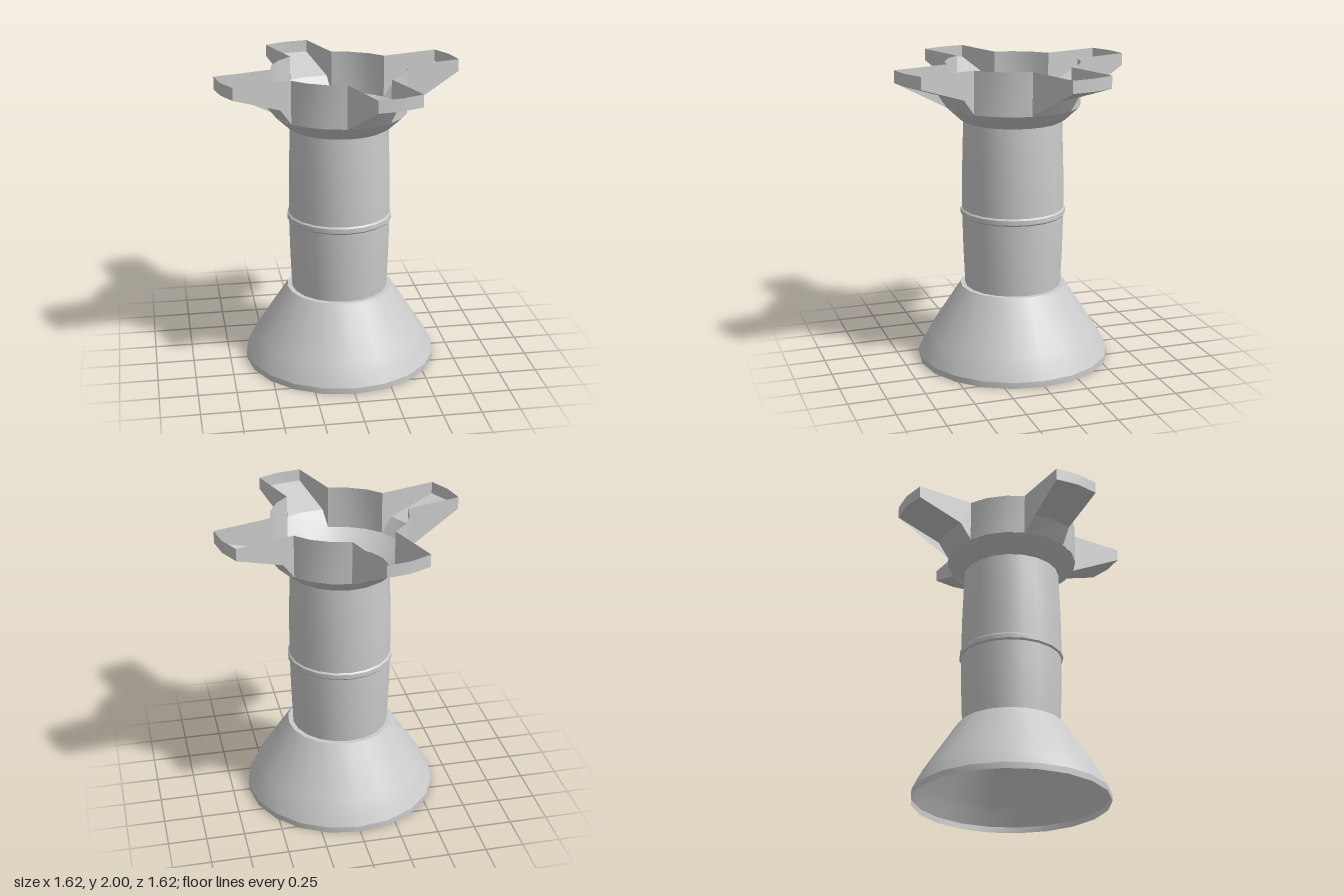
import * as THREE from 'three';
import { toCreasedNormals } from 'three/addons/utils/BufferGeometryUtils.js';

const SIDES = 20;
const material = new THREE.MeshStandardMaterial({ color: 0xcccccc, side: THREE.DoubleSide });

function addMesh(parent, name, geometry) {
  const mesh = new THREE.Mesh(toCreasedNormals(geometry, 0.45), material);
  mesh.name = name;
  parent.add(mesh);
  return mesh;
}

function lathe(points) {
  return new THREE.LatheGeometry(points.map(([r, y]) => new THREE.Vector2(r, y)), SIDES);
}

// Builds triangles from a list of polygons (fans of [x, y, z] corners)
function polygons(list) {
  const pos = [];
  for (const p of list)
    for (let i = 1; i < p.length - 1; i++) pos.push(...p[0], ...p[i], ...p[i + 1]);
  const g = new THREE.BufferGeometry();
  g.setAttribute('position', new THREE.Float32BufferAttribute(pos, 3));
  g.computeVertexNormals();
  return g;
}

// Open trough along +x: floor, end wall and two side walls
function troughGeometry() {
  const half = 0.153;
  // [corner x, middle x, y] from the cup outward, then up the end wall
  const rows = [[0.412, 0.44, 1.72], [0.487, 0.51, 1.82], [0.8, 0.82, 1.92], [0.8, 0.82, 2]];
  const list = [];
  for (let i = 0; i < rows.length - 1; i++) {
    const [a, am, ay] = rows[i], [b, bm, by] = rows[i + 1];
    list.push([[a, ay, half], [am, ay, 0], [bm, by, 0], [b, by, half]]);
    list.push([[am, ay, 0], [a, ay, -half], [b, by, -half], [bm, by, 0]]);
  }
  // fanned from the floor bend, where the side outline is concave
  const side = (z) => [1, 2, 3].map((i) => [rows[i][0], rows[i][2], z])
    .concat([[0.412, 2, z], [0.412, 1.72, z]]);
  list.push(side(half).reverse(), side(-half));
  return polygons(list);
}

// Upright cup wall filling the gap between two troughs
function cupWallGeometry() {
  const pts = [20.4, 36, 54, 69.6].map((deg) => {
    const a = THREE.MathUtils.degToRad(deg);
    return [0.44 * Math.cos(a), -0.44 * Math.sin(a)];
  });
  const list = [];
  for (let i = 0; i < pts.length - 1; i++) {
    const [x0, z0] = pts[i], [x1, z1] = pts[i + 1];
    list.push([[x0, 1.72, z0], [x1, 1.72, z1], [x1, 2, z1], [x0, 2, z0]]);
  }
  return polygons(list);
}

export function createModel() {
  const model = new THREE.Group();
  model.name = 'fountainPedestal';

  // Hollow flared foot with a narrow ledge on top
  addMesh(model, 'base', lathe([
    [0.64, 0], [0.64, 0.04], [0.6, 0.12], [0.567, 0.18], [0.352, 0.51], [0.32, 0.51],
  ]));

  // Hollow column, slightly swollen at mid height
  addMesh(model, 'column', lathe([
    [0.315, 0.445], [0.32, 0.51], [0.33, 0.75], [0.336, 1.01], [0.333, 1.3], [0.323, 1.62],
  ]));
  addMesh(model, 'columnBand', lathe([
    [0.334, 0.985], [0.346, 0.997], [0.346, 1.027], [0.334, 1.038],
  ]));

  // Shallow raised floor closing the column
  addMesh(model, 'columnFloor', lathe([[0.32, 0.51], [0.16, 0.58], [0, 0.58]]));

  // Flared cup bottom
  addMesh(model, 'cupBottom', lathe([[0.323, 1.62], [0.35, 1.637], [0.44, 1.72]]));

  // Four troughs and the wall pieces between them
  const trough = troughGeometry(), wall = cupWallGeometry();
  for (let i = 0; i < 4; i++) {
    const angle = THREE.MathUtils.degToRad(18 + 90 * i);
    addMesh(model, 'trough' + (i + 1), trough).rotation.y = angle;
    addMesh(model, 'cupWall' + (i + 1), wall).rotation.y = angle;
  }
  return model;
}
